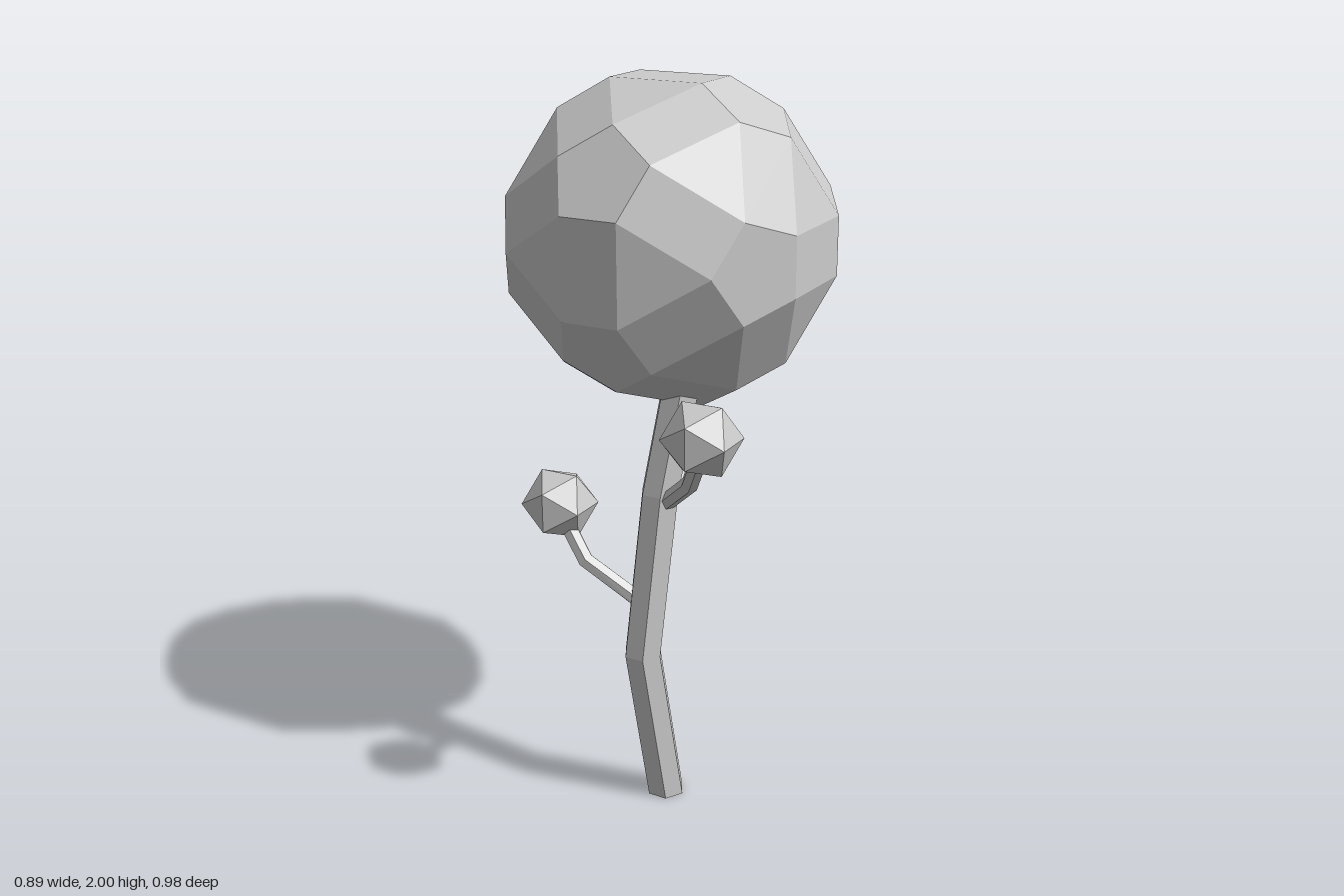
import * as THREE from 'three';
import { ConvexGeometry } from 'three/addons/geometries/ConvexGeometry.js';

const material = new THREE.MeshStandardMaterial({ color: 0xcccccc, flatShading: true });
const V = (x, y, z) => new THREE.Vector3(x, y, z);

// turns an icosahedron so that one corner points to +z and an edge lies on top
const TURN = -(Math.PI / 2 - Math.atan(2 / (1 + Math.sqrt(5))));

function addMesh(group, name, geometry, position) {
  const mesh = new THREE.Mesh(geometry, material);
  mesh.name = name;
  if (position) mesh.position.copy(position);
  group.add(mesh);
}

// six-sided limb along a path, closed at both ends; axis fixes the tilt of all rings
function limb(path, radius, axis) {
  const sides = 6;
  const rings = path.map((c, j) => {
    const before = path[Math.max(j - 1, 0)];
    const after = path[Math.min(j + 1, path.length - 1)];
    const t = axis ? axis.clone() : after.clone().sub(before).normalize();
    const s = V(1, 0, 0).addScaledVector(t, -t.x).normalize();
    const b = t.clone().cross(s);
    return Array.from({ length: sides }, (_, i) => {
      const a = (i / sides) * Math.PI * 2;
      return c.clone().addScaledVector(s, radius * Math.cos(a)).addScaledVector(b, radius * Math.sin(a));
    });
  });
  const points = [];
  const last = rings.length - 1;
  for (let i = 0; i < sides; i++) {
    const n = (i + 1) % sides;
    for (let j = 0; j < last; j++) {
      const [p, q] = [rings[j], rings[j + 1]];
      points.push(p[i], p[n], q[n], p[i], q[n], q[i]);
    }
    points.push(path[0], rings[0][n], rings[0][i]);
    points.push(path[last], rings[last][i], rings[last][n]);
  }
  const geometry = new THREE.BufferGeometry().setFromPoints(points);
  geometry.computeVertexNormals();
  return geometry;
}

// faceted ball: a small pentagon at each icosahedron corner, joined by rectangles and triangles
function facetedBall(pentagonDistance, pentagonRadius) {
  const pos = new THREE.IcosahedronGeometry(1, 0).attributes.position;
  const points = [];
  for (let f = 0; f < pos.count; f += 3) {
    const corners = [0, 1, 2].map((k) => new THREE.Vector3().fromBufferAttribute(pos, f + k));
    const centre = V(0, 0, 0).add(corners[0]).add(corners[1]).add(corners[2]);
    for (const c of corners) {
      const out = centre.clone().addScaledVector(c, -centre.dot(c)).normalize();
      points.push(c.clone().multiplyScalar(pentagonDistance).addScaledVector(out, pentagonRadius));
    }
  }
  return new ConvexGeometry(points).rotateY(TURN);
}

export function createModel() {
  const tree = new THREE.Group();
  tree.name = 'tree';

  // bent trunk with level rings
  const trunkPath = [V(-0.107, 0, 0.092), V(-0.178, 0.46, 0.092), V(-0.12, 0.93, 0.092), V(-0.045, 1.27, 0.092)];
  addMesh(tree, 'trunk', limb(trunkPath, 0.055, V(0, 1, 0)));

  // large crown
  addMesh(tree, 'crown', facetedBall(0.431, 0.136), V(0, 1.576, -0.058));

  // side branches, each ending in a small leaf ball
  const branches = [
    { name: 'front', path: [V(-0.117, 0.885, 0.09), V(-0.122, 1.005, 0.25), V(-0.16, 1.15, 0.375)], ball: V(-0.167, 1.18, 0.383) },
    { name: 'back', path: [V(-0.165, 0.6, 0.08), V(-0.28, 0.71, -0.045), V(-0.308, 0.83, -0.135)], ball: V(-0.305, 0.85, -0.145) },
  ];
  for (const { name, path, ball } of branches) {
    addMesh(tree, `${name}Branch`, limb(path, 0.024));
    addMesh(tree, `${name}LeafBall`, new THREE.IcosahedronGeometry(0.106, 0).rotateY(TURN), ball);
  }
  return tree;
}
